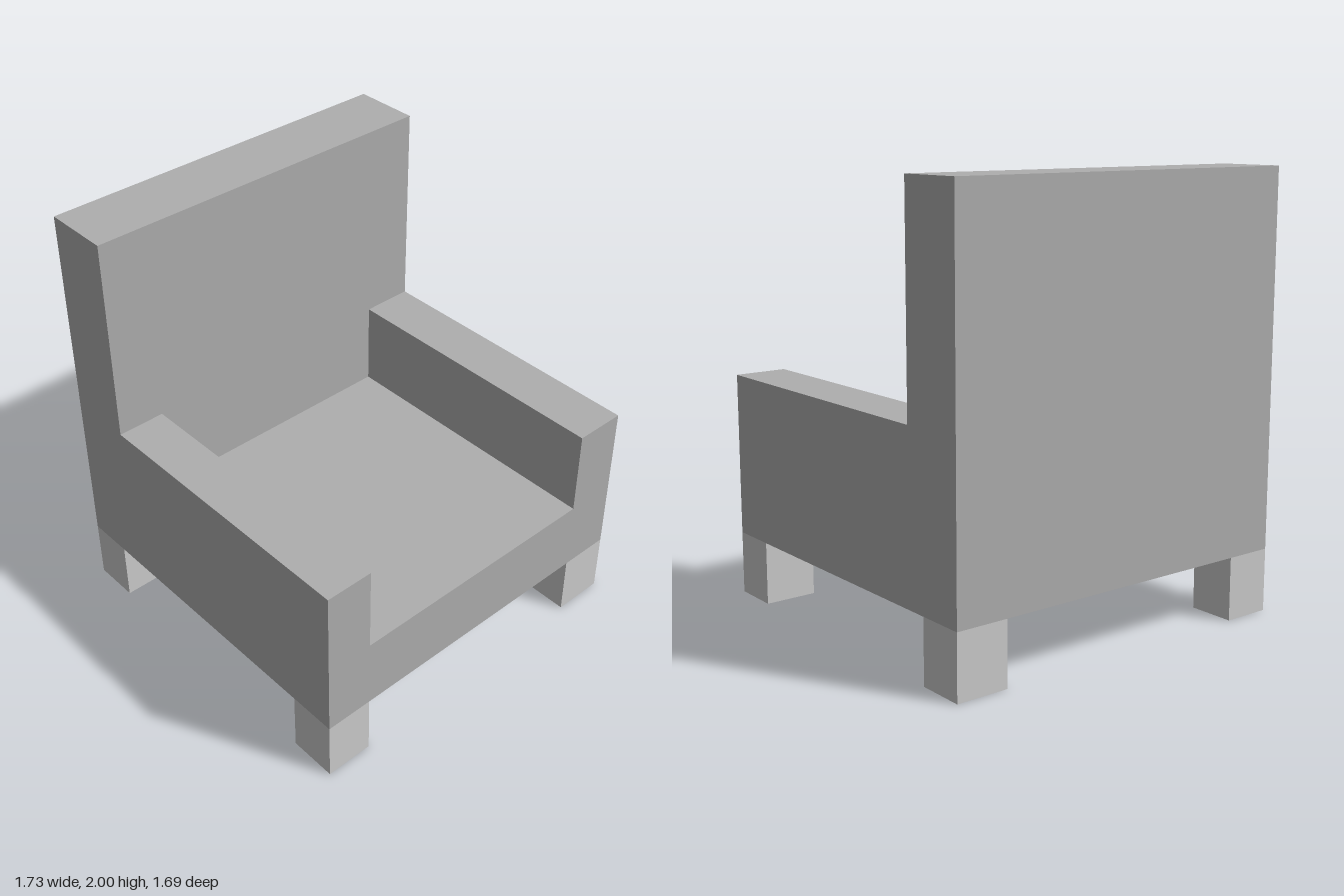
import * as THREE from 'three';

const bodyMat = new THREE.MeshStandardMaterial({ color: 0xaeaeae, flatShading: true });
const legMat = new THREE.MeshStandardMaterial({ color: 0xcccccc, flatShading: true });

// Outer limits and the main levels of the chair
const X = 0.865, Z = 0.845;
const legTop = 0.29, seatTop = 0.63, armTop = 1.04, top = 2;
const innerRight = -0.64, innerLeft = 0.62, backFront = -0.53;

// Box given by its opposite corners
function box(name, mat, x0, x1, y0, y1, z0, z1) {
  const mesh = new THREE.Mesh(new THREE.BoxGeometry(x1 - x0, y1 - y0, z1 - z0), mat);
  mesh.position.set((x0 + x1) / 2, (y0 + y1) / 2, (z0 + z1) / 2);
  mesh.name = name;
  return mesh;
}

export function createModel() {
  const chair = new THREE.Group();
  chair.name = 'armchair';

  // Seat and both armrests: one U-shaped section run from front to back
  const section = new THREE.Shape([
    [-X, legTop], [X, legTop], [X, armTop], [innerLeft, armTop],
    [innerLeft, seatTop], [innerRight, seatTop], [innerRight, armTop], [-X, armTop],
  ].map(([x, y]) => new THREE.Vector2(x, y)));
  const seat = new THREE.Mesh(
    new THREE.ExtrudeGeometry(section, { depth: Z - backFront, bevelEnabled: false }), bodyMat);
  seat.position.z = backFront;
  seat.name = 'seatAndArmrests';
  chair.add(seat);

  // Tall backrest
  chair.add(box('backrest', bodyMat, -X, X, legTop, top, -Z, backFront));

  // Four corner legs
  const sides = [['Right', -X, innerRight], ['Left', innerLeft, X]];
  const ends = [['front', 0.62, Z], ['back', -Z, -0.625]];
  for (const [side, x0, x1] of sides)
    for (const [end, z0, z1] of ends)
      chair.add(box(`${end}${side}Leg`, legMat, x0, x1, 0, legTop, z0, z1));

  return chair;
}
